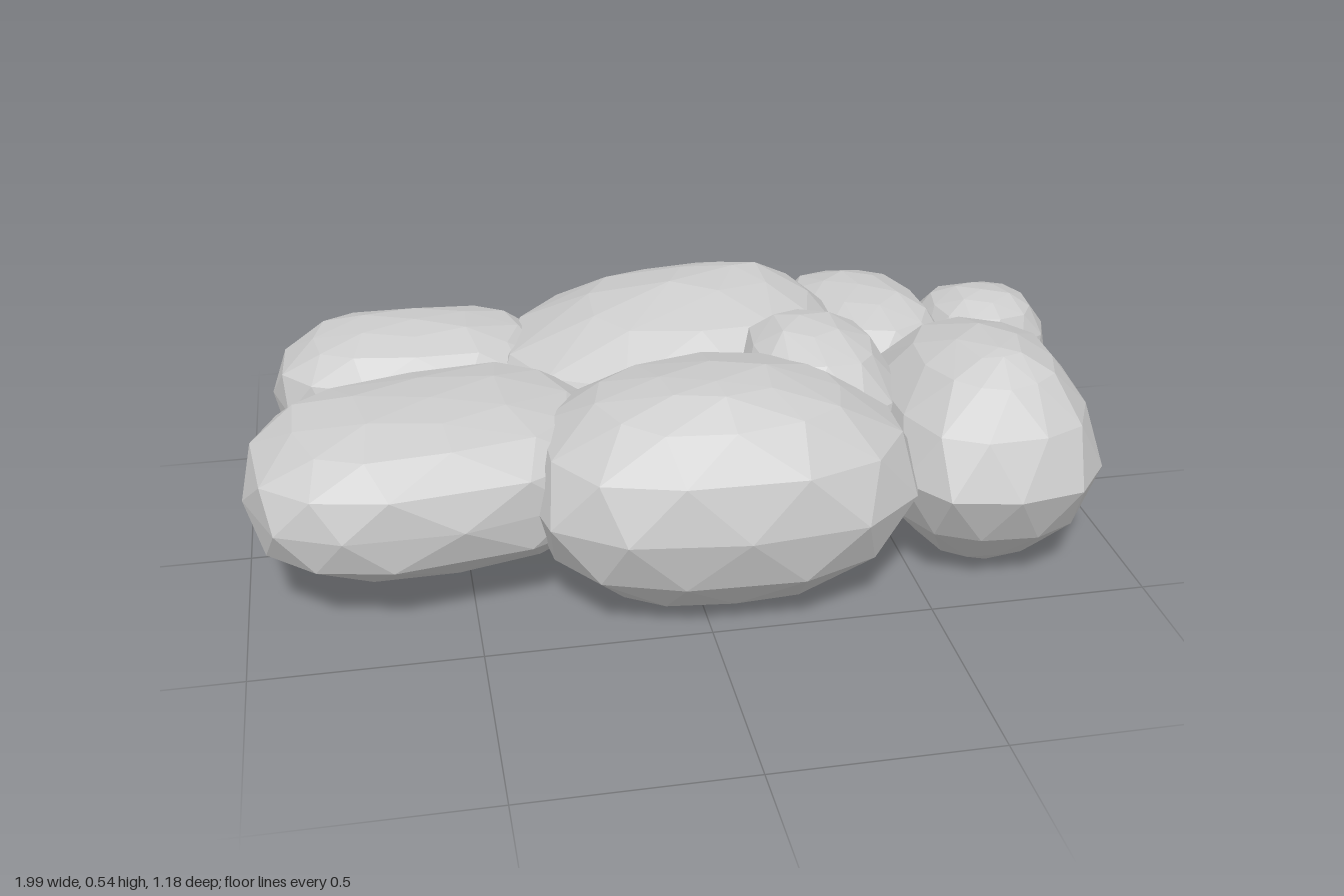
import * as THREE from 'three';
import { ConvexGeometry } from 'three/addons/geometries/ConvexGeometry.js';

const MID = 0.27; // height of the symmetry plane
const SIDES = 12;

// Each lobe: centre x, z; half sizes a, b, h; turn; crest offset dx, dz;
// plan exponent q (smaller is boxier); side fullness at the back and front
const LOBES = [
  { name: 'backRightLobe', x: -0.575, z: -0.315, a: 0.35, b: 0.215, h: 0.172, turn: 0.04, dx: 0, dz: 0, q: 0.74, back: 2.5, front: 2.5 },
  { name: 'frontRightLobe', x: -0.565, z: 0.14, a: 0.43, b: 0.295, h: 0.183, turn: -0.15, dx: 0, dz: 0, q: 0.72, back: 2.7, front: 2.5 },
  { name: 'backCentreLobe', x: 0.045, z: -0.23, a: 0.485, b: 0.37, h: 0.268, turn: 0.12, dx: 0.16, dz: -0.05, q: 0.82, back: 1.65, front: 2.1 },
  { name: 'frontCentreLobe', x: 0.065, z: 0.27, a: 0.46, b: 0.328, h: 0.265, turn: 0, dx: -0.03, dz: 0.07, q: 0.82, back: 2.1, front: 1.9 },
  { name: 'frontLeftLobe', x: 0.685, z: 0.205, a: 0.265, b: 0.333, h: 0.268, turn: 0.02, dx: 0, dz: 0.09, q: 0.82, back: 2.3, front: 1.45 },
  { name: 'backLeftLobe', x: 0.53, z: -0.28, a: 0.2, b: 0.285, h: 0.192, turn: -0.17, dx: 0, dz: 0, q: 0.78, back: 2.4, front: 2.6 },
  { name: 'farLeftLobe', x: 0.83, z: -0.25, a: 0.172, b: 0.182, h: 0.18, turn: -0.1, dx: 0, dz: 0.03, q: 0.82, back: 2.1, front: 2.7 },
  { name: 'middleLobe', x: 0.325, z: 0.085, a: 0.205, b: 0.225, h: 0.265, turn: 0, dx: -0.03, dz: -0.05, q: 0.76, back: 2.4, front: 2.3 },
];

// Signed power that makes an ellipse more or less boxy
const squared = (v, q) => Math.sign(v) * Math.pow(Math.abs(v), q);

// Stack shrinking rings above and below the widest outline and wrap them in a hull
function lobeGeometry({ x, z, a, b, h, turn, dx, dz, q, back, front }, seed) {
  const points = [];
  const addPair = (px, y, pz) => {
    for (const sign of [1, -1]) points.push(new THREE.Vector3(px, MID + sign * y, pz));
  };
  [0, 0.46, 0.8, 0.96].forEach((t, ring) => {
    const count = ring === 3 ? SIDES / 2 : SIDES;
    for (let i = 0; i < count; i++) {
      // Alternate rings are staggered and slightly uneven for irregular facets
      const angle = ((i + (ring % 2) / 2) / count) * Math.PI * 2;
      const p = THREE.MathUtils.lerp(back, front, (1 + Math.sin(angle)) / 2);
      const s = Math.pow(1 - Math.pow(t, p), 1 / p);
      const k = s * (0.99 + 0.015 * Math.sin(i * 2.4 + ring + seed));
      const u = a * k * squared(Math.cos(angle), q);
      const v = b * k * squared(Math.sin(angle), q);
      const y = h * t * (1 + 0.02 * Math.sin(i * 1.7 + ring + seed));
      addPair(
        x + dx * (1 - s) + u * Math.cos(turn) - v * Math.sin(turn),
        y,
        z + dz * (1 - s) + u * Math.sin(turn) + v * Math.cos(turn),
      );
    }
  });
  addPair(x + dx, h, z + dz);
  return new ConvexGeometry(points);
}

export function createModel() {
  const group = new THREE.Group();
  group.name = 'lobedCluster';
  const paleGrey = new THREE.MeshStandardMaterial({ color: 0xcccccc, flatShading: true });
  paleGrey.name = 'paleGrey';
  LOBES.forEach((lobe, i) => {
    const mesh = new THREE.Mesh(lobeGeometry(lobe, i), paleGrey);
    mesh.name = lobe.name;
    group.add(mesh);
  });
  return group;
}
